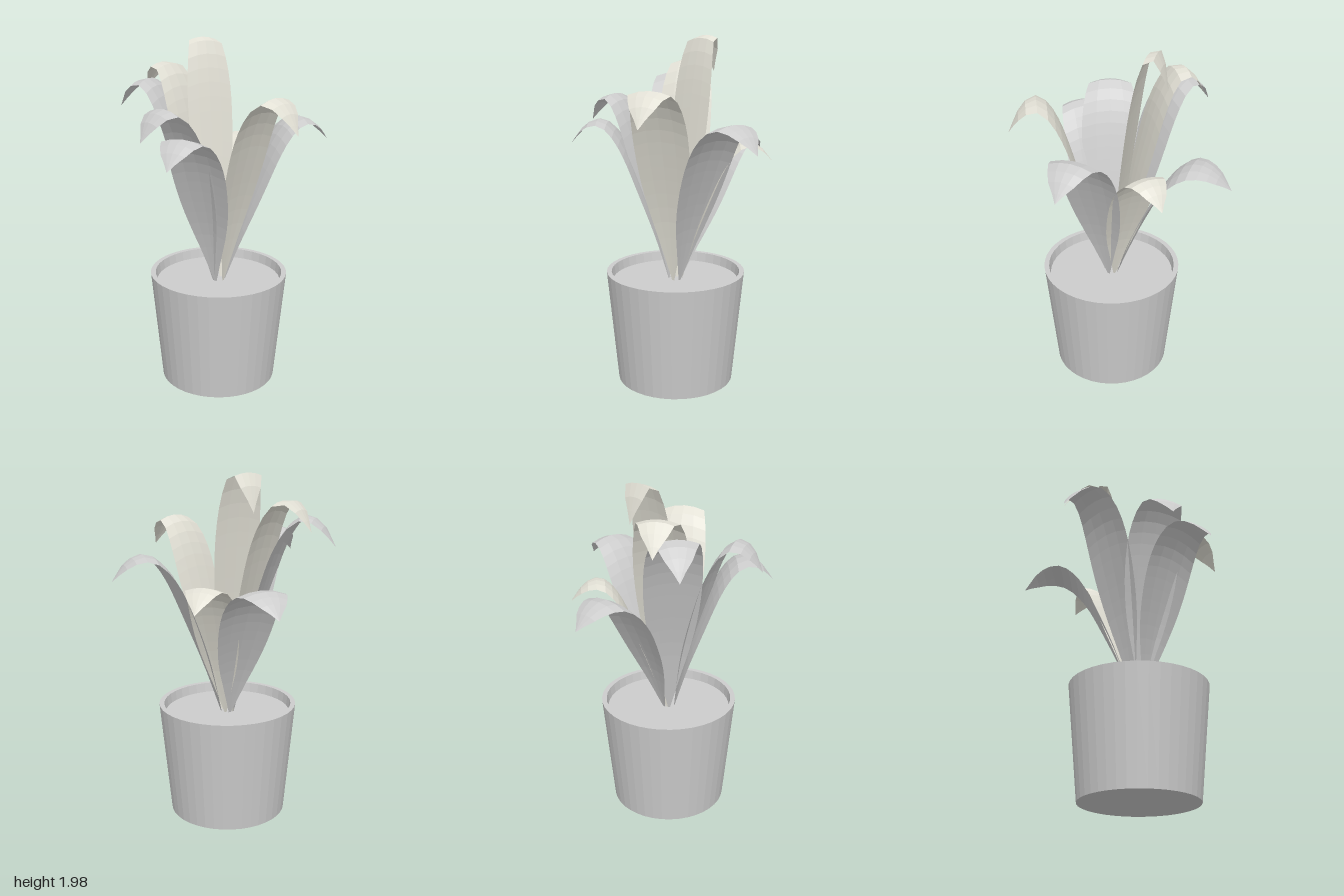
import * as THREE from 'three';

const CX = 0.045, CZ = -0.025; // pot axis
const BASE_Y = 0.59;

// Tip x, tip z, tip height, peak height, width scale, warm tint
const LEAVES = [
  [-0.435, -0.515, 1.29, 1.41, 1, false],
  [0.0, -0.57, 1.29, 1.41, 0.83, true],
  [0.53, -0.465, 1.41, 1.55, 1, false],
  [0.57, 0.13, 1.54, 1.72, 0.97, true],
  [0.04, 0.565, 1.39, 1.53, 1, false],
  [-0.165, 0.475, 1.5, 1.66, 1, false],
  [-0.57, 0.01, 1.59, 1.76, 0.97, false],
  [-0.47, -0.12, 1.68, 1.85, 0.95, true],
  [-0.19, -0.23, 1.78, 2.0, 0.82, true],
];

// Half width along the leaf: [position, half width]
const WIDTH = [[0, 0.004], [0.1, 0.04], [0.3, 0.11], [0.45, 0.148], [0.6, 0.163],
  [0.72, 0.155], [0.82, 0.125], [0.92, 0.068], [1, 0]];
const widthCurve = new THREE.SplineCurve(WIDTH.map(([t, w]) => new THREE.Vector2(t, w)));
function halfWidth(t) {
  let i = 0;
  while (i < WIDTH.length - 2 && t > WIDTH[i + 1][0]) i++;
  const f = (t - WIDTH[i][0]) / (WIDTH[i + 1][0] - WIDTH[i][0]);
  return Math.max(0, widthCurve.getPoint((i + f) / (WIDTH.length - 1)).y);
}

// Midrib: [share of reach, share of rise] up to the peak
const RISE = [[0.2, 0.36], [0.37, 0.68], [0.49, 0.86], [0.61, 0.965], [0.73, 1]];

// Arching leaf: a sheet swept along a midrib that rises, bends over and droops
function leafGeometry([tx, tz, tipY, peakY, scale]) {
  const dx = tx - CX, dz = tz - CZ;
  const R = Math.hypot(dx, dz);
  const ux = dx / R, uz = dz / R;
  const rib = new THREE.SplineCurve([
    [0.035, BASE_Y],
    ...RISE.map(([r, h]) => [r * R, BASE_Y + h * (peakY - BASE_Y)]),
    [0.87 * R, peakY - 0.28 * (peakY - tipY)],
    [R, tipY],
  ].map(([r, y]) => new THREE.Vector2(r, y)));
  rib.arcLengthDivisions = 400;

  const rows = 18, cols = 4, pos = [], index = [];
  for (let i = 0; i <= rows; i++) {
    const t = Math.pow(i / rows, 0.75); // closer rows towards the bend
    const p = rib.getPointAt(t);
    const w = halfWidth(t) * scale;
    for (let j = 0; j <= cols; j++) {
      const u = (j / cols) * 2 - 1;
      const sag = 0.2 * w * u * u; // edges hang below the midrib
      pos.push(CX + ux * p.x - uz * u * w, p.y - sag, CZ + uz * p.x + ux * u * w);
    }
  }
  for (let i = 0; i < rows; i++) {
    for (let j = 0; j < cols; j++) {
      const a = i * (cols + 1) + j, b = a + cols + 1;
      index.push(a, a + 1, b);
      if (i < rows - 1) index.push(a + 1, b + 1, b); // last row meets in a point
    }
  }
  const g = new THREE.BufferGeometry();
  g.setAttribute('position', new THREE.Float32BufferAttribute(pos, 3));
  g.setIndex(index);
  g.computeVertexNormals();
  return g;
}

function makeMaterial(name, color) {
  const m = new THREE.MeshStandardMaterial({ color, flatShading: true, side: THREE.DoubleSide });
  m.name = name;
  return m;
}

export function createModel() {
  const model = new THREE.Group();
  model.name = 'pottedPlant';
  const grey = makeMaterial('pale grey', 0xcccccc);
  const warm = makeMaterial('warm white', 0xe2e0d5);

  // Tapered pot with a rim and soil set just below it
  const profile = [[0, 0], [0.336, 0], [0.398, 0.655], [0.37, 0.655], [0.362, 0.6]];
  const pot = new THREE.Mesh(
    new THREE.LatheGeometry(profile.map(([r, y]) => new THREE.Vector2(r, y)), 40), grey);
  pot.name = 'pot';
  pot.position.set(CX, 0, CZ);
  model.add(pot);

  const soil = new THREE.Mesh(new THREE.CircleGeometry(0.362, 40), grey);
  soil.name = 'soil';
  soil.rotation.x = -Math.PI / 2;
  soil.position.set(CX, 0.6, CZ);
  model.add(soil);

  // Rosette of leaves
  const leaves = new THREE.Group();
  leaves.name = 'leaves';
  LEAVES.forEach((spec, i) => {
    const leaf = new THREE.Mesh(leafGeometry(spec), spec[5] ? warm : grey);
    leaf.name = `leaf${i + 1}`;
    leaves.add(leaf);
  });
  model.add(leaves);
  return model;
}
